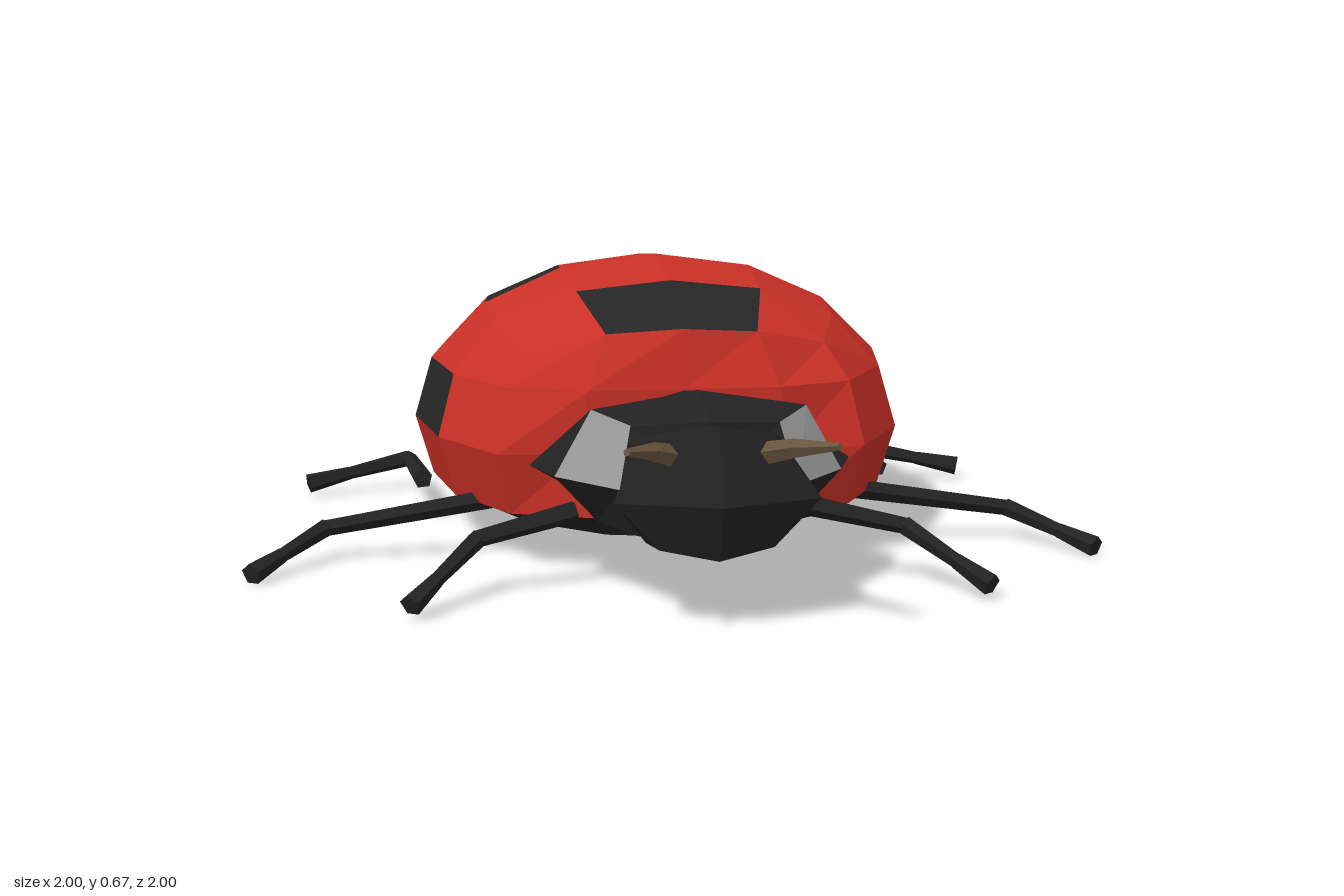
import * as THREE from 'three';

const mat = (name, color, side = THREE.FrontSide) => {
  const m = new THREE.MeshStandardMaterial({ color, flatShading: true, side });
  m.name = name;
  return m;
};

// Adds a quad as two triangles, wound to face away from the given centre
function addQuad(list, centre, a, b, c, d) {
  const n = c.clone().sub(a).cross(d.clone().sub(b));
  const out = a.clone().add(b).add(c).add(d).multiplyScalar(0.25).sub(centre);
  if (n.dot(out) < 0) [b, d] = [d, b];
  for (const p of [a, b, c, a, c, d]) list.push(p.x, p.y, p.z);
}

function facetMesh(name, list, material) {
  const g = new THREE.BufferGeometry();
  g.setAttribute('position', new THREE.Float32BufferAttribute(list, 3));
  g.computeVertexNormals();
  const m = new THREE.Mesh(g, material);
  m.name = name;
  return m;
}

// Maps a point of a 4x4x4 cube grid onto the domed, flat-bottomed body
function bodyPoint(i, j, k) {
  const w = (n) => (Math.abs(n) === 1 ? 0.43 * n : n / 2);
  const d = new THREE.Vector3(w(i), w(j), w(k)).normalize();
  if (Math.abs(j) === 1) {
    // keep the rows above and below the waist level
    const s = 0.929 / Math.hypot(d.x, d.z);
    if (Math.abs(i) === 2 || Math.abs(k) === 2) d.set(d.x * s, 0.37 * j, d.z * s);
  }
  const y = d.y > -0.37 ? 0.285 + 0.395 * d.y : 0.139 - ((-d.y - 0.37) / 0.63) * 0.109;
  const z = d.z < 0 ? -0.24 + 0.76 * d.z : Math.min(0.31, -0.24 + 0.735 * d.z);
  return new THREE.Vector3(0.6 * d.x, y, z);
}

// Which part a body facet belongs to
function bodyPart(axis, sign, x, y, z) {
  if (y < -1) return 'belly';
  const ax = Math.abs(x);
  if (axis === 1 && ax < 1 && z > 1) return 'spots';
  if (axis === 1 && ax > 1 && z > -1 && z < 0) return 'spots';
  if (axis === 0 && y > 0 && y < 1 && z > 0 && z < 1) return 'spots';
  if (axis === 2 && sign < 0 && ax > 1 && y > 0 && y < 1) return 'spots';
  return 'shell';
}

function buildBody(parts) {
  const centre = new THREE.Vector3(0, 0.25, -0.24);
  for (let axis = 0; axis < 3; axis++) for (const sign of [-1, 1])
    for (let u = -2; u < 2; u++) for (let v = -2; v < 2; v++) {
      const at = (a, b) => {
        const p = [0, 0, 0];
        p[axis] = 2 * sign;
        p[(axis + 1) % 3] = a;
        p[(axis + 2) % 3] = b;
        return p;
      };
      const part = bodyPart(axis, sign, ...at(u + 0.5, v + 0.5));
      const c = [at(u, v), at(u + 1, v), at(u + 1, v + 1), at(u, v + 1)].map((p) => bodyPoint(...p));
      addQuad(parts[part], centre, ...c);
    }
}

// Lofts mirrored half-rings (top to bottom on +x), closed by a point at each end
function loft(rings, back, front, pick) {
  const full = rings.map((r) => {
    const right = r.map((p) => new THREE.Vector3(...p));
    const left = r.slice(1, -1).reverse().map(([x, y, z]) => new THREE.Vector3(-x, y, z));
    return [...right, ...left];
  });
  const n = full[0].length;
  const b = new THREE.Vector3(...back), f = new THREE.Vector3(...front);
  full.unshift(Array(n).fill(b));
  full.push(Array(n).fill(f));
  const centre = b.clone().add(f).multiplyScalar(0.5);
  for (let r = 0; r < full.length - 1; r++) for (let i = 0; i < n; i++) {
    const j = (i + 1) % n;
    addQuad(pick(r, i), centre, full[r][i], full[r][j], full[r + 1][j], full[r + 1][i]);
  }
}

// Tapered rod between two points
function rod(name, a, b, r0, r1, material, sides = 5) {
  const p = new THREE.Vector3(...a), q = new THREE.Vector3(...b);
  const dir = q.clone().sub(p);
  const m = new THREE.Mesh(new THREE.CylinderGeometry(r1, r0, dir.length(), sides), material);
  m.position.copy(p).add(q).multiplyScalar(0.5);
  m.quaternion.setFromUnitVectors(new THREE.Vector3(0, 1, 0), dir.normalize());
  m.name = name;
  return m;
}

export function createModel() {
  const model = new THREE.Group();
  model.name = 'beetle';
  const red = mat('shellRed', 0xc93026);
  const black = mat('bodyBlack', 0x222222);
  const spotBlack = mat('spotBlack', 0x262626);
  const pale = mat('cheekGrey', 0x9a9a9a);
  const brown = mat('antennaBrown', 0x695640);

  // Shell, spots and belly
  const parts = { shell: [], spots: [], belly: [] };
  buildBody(parts);
  model.add(
    facetMesh('shell', parts.shell, red),
    facetMesh('spots', parts.spots, spotBlack),
    facetMesh('belly', parts.belly, black),
  );

  // Thorax with a pale patch on each cheek
  const thorax = [], cheeks = [];
  loft([
    [[0, 0.425, 0.29], [0.2, 0.38, 0.34], [0.36, 0.285, 0.4], [0.2, 0.18, 0.34], [0, 0.14, 0.31]],
    [[0, 0.467, 0.53], [0.235, 0.43, 0.53], [0.315, 0.285, 0.53], [0.22, 0.18, 0.52], [0, 0.14, 0.5]],
    [[0, 0.425, 0.68], [0.16, 0.41, 0.62], [0.19, 0.285, 0.68], [0.15, 0.18, 0.66], [0, 0.155, 0.68]],
  ], [0, 0.285, 0.27], [0, 0.285, 0.7], (r, i) => (r === 2 && (i === 1 || i === 6) ? cheeks : thorax));
  model.add(facetMesh('thorax', thorax, black), facetMesh('cheekPatches', cheeks, pale));

  // Head
  const head = [];
  loft([
    [[0, 0.41, 0.64], [0.13, 0.39, 0.64], [0.16, 0.285, 0.64], [0.13, 0.18, 0.64], [0, 0.155, 0.64]],
    [[0, 0.425, 0.73], [0.14, 0.4, 0.72], [0.2, 0.285, 0.72], [0.14, 0.18, 0.72], [0, 0.155, 0.73]],
    [[0, 0.44, 0.815], [0.12, 0.415, 0.79], [0.215, 0.285, 0.805], [0.12, 0.18, 0.79], [0, 0.16, 0.82]],
  ], [0, 0.285, 0.62], [0, 0.285, 0.88], () => head);
  model.add(facetMesh('head', head, black));

  // Leg joints on the +x side: hip, knee, foot tip
  const legs = {
    frontLeg: [[0.26, 0.18, 0.41], [0.48, 0.135, 0.455], [0.63, 0.04, 0.64]],
    middleLeg: [[0.4, 0.15, 0.1], [0.82, 0.085, 0.1], [0.98, 0.03, 0.3]],
    rearLeg: [[0.585, 0.115, -0.27], [0.615, 0.09, -0.66], [0.88, 0.045, -0.58]],
  };
  for (const side of [1, -1]) {
    const label = side > 0 ? 'Left' : 'Right';
    const flip = ([x, y, z]) => [x * side, y, z];
    for (const [name, joints] of Object.entries(legs)) {
      const [hip, knee, tip] = joints.map(flip);
      const ankle = knee.map((v, n) => v + (tip[n] - v) * 0.6);
      const leg = new THREE.Group();
      leg.name = name + label;
      leg.add(
        rod('thigh', hip, knee, 0.025, 0.02, black),
        rod('shin', knee, ankle, 0.022, 0.017, black),
        rod('foot', ankle, tip, 0.018, 0.026, black),
      );
      model.add(leg);
    }
    // Antenna
    const [a, b, c] = [[0.095, 0.375, 0.78], [0.145, 0.405, 0.88], [0.21, 0.43, 0.995]].map(flip);
    const antenna = new THREE.Group();
    antenna.name = 'antenna' + label;
    antenna.add(rod('antennaBase', a, b, 0.026, 0.021, brown), rod('antennaTip', b, c, 0.021, 0.008, brown));
    model.add(antenna);
  }
  return model;
}
